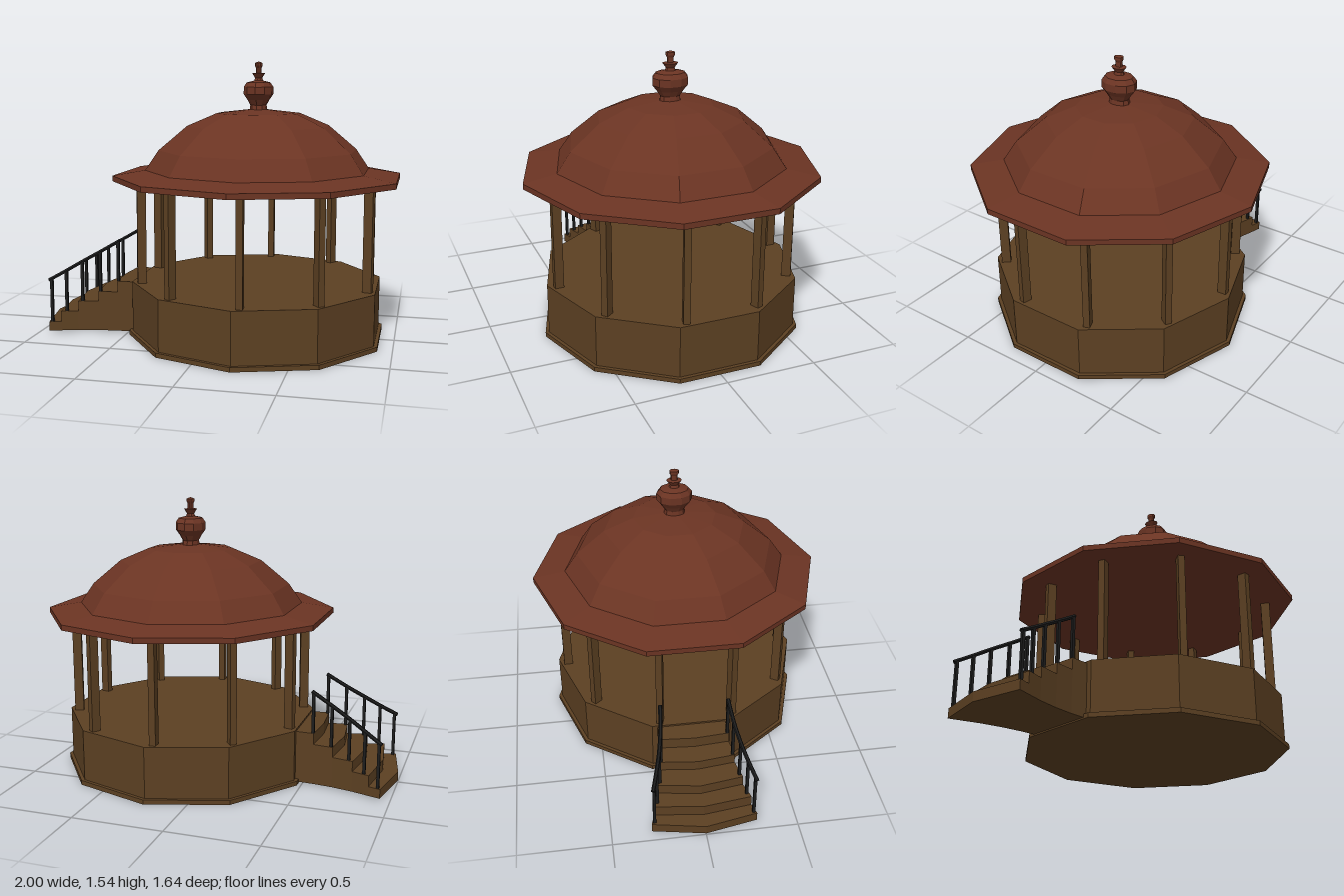
import * as THREE from 'three';

const mat = (color, side = THREE.FrontSide) =>
  new THREE.MeshStandardMaterial({ color, flatShading: true, side });

export function createModel() {
  const model = new THREE.Group();
  const wood = mat(0x5c4022);
  const red = mat(0x6b3423);
  const iron = mat(0x1c1c1c);
  const SIDES = 10;

  const add = (parent, name, geometry, material, x = 0, y = 0, z = 0) => {
    const mesh = new THREE.Mesh(geometry, material);
    mesh.name = name;
    mesh.position.set(x, y, z);
    parent.add(mesh);
    return mesh;
  };
  const lathe = (points) =>
    new THREE.LatheGeometry(points.map(([r, y]) => new THREE.Vector2(r, y)), SIDES);

  // Ten-sided pavilion, set off to one side to leave room for the stairs
  const pavilion = new THREE.Group();
  pavilion.name = 'pavilion';
  pavilion.position.x = 0.22;
  model.add(pavilion);

  add(pavilion, 'plinth', new THREE.CylinderGeometry(0.735, 0.735, 0.025, SIDES), wood, 0, 0.0125, 0);
  add(pavilion, 'floorBase', new THREE.CylinderGeometry(0.715, 0.715, 0.285, SIDES), wood, 0, 0.1675, 0);

  // Columns, turned slightly off the corners of the base
  for (let i = 0; i < SIDES; i++) {
    const a = (i / SIDES) * Math.PI * 2 + 0.052;
    const column = add(pavilion, 'column', new THREE.BoxGeometry(0.036, 0.59, 0.05), wood,
      0.66 * Math.sin(a), 0.6, 0.66 * Math.cos(a));
    column.rotation.y = a;
  }

  // Roof: flat underside, brim and faceted dome
  add(pavilion, 'roof', lathe([
    [0, 0.885], [0.818, 0.885], [0.818, 0.915], [0.635, 0.945], [0.56, 1.055],
    [0.4, 1.19], [0.235, 1.26], [0, 1.287],
  ]), red);

  // Finial, a little narrower across x
  const finial = add(pavilion, 'finial', lathe([
    [0.062, 1.265], [0.055, 1.305], [0.075, 1.335], [0.1, 1.365], [0.1, 1.405], [0.08, 1.43],
    [0.03, 1.44], [0.024, 1.455], [0.043, 1.48], [0.019, 1.483], [0.019, 1.51],
    [0.026, 1.522], [0.026, 1.537], [0, 1.545],
  ]), red);
  finial.scale.x = 0.82;

  // Stairs: pointed treads between flaring sides
  const stairs = new THREE.Group();
  stairs.name = 'stairs';
  model.add(stairs);

  // Each row: nose x on the centre line, nose x at the side, half width, tread height
  const treads = [
    [-1, -0.945, 0.285, 0.06],
    [-0.915, -0.88, 0.265, 0.122],
    [-0.82, -0.785, 0.235, 0.18],
    [-0.695, -0.67, 0.21, 0.237],
    [-0.575, -0.56, 0.196, 0.3],
    [-0.43, -0.43, 0.19, 0],
  ];
  for (let i = 0; i < treads.length - 1; i++) {
    const [c0, s0, w0, h] = treads[i];
    const [c1, s1, w1] = treads[i + 1];
    const outline = new THREE.Shape([[c0, 0], [s0, -w0], [s1, -w1], [c1, 0], [s1, w1], [s0, w0]]
      .map(([x, y]) => new THREE.Vector2(x, y)));
    const step = new THREE.ExtrudeGeometry(outline, { depth: h - 0.008, bevelEnabled: false });
    step.rotateX(-Math.PI / 2);
    add(stairs, 'step', step, wood, 0, 0.008, 0);
  }

  // Railings: each row is post x, offset in z, foot height, rail height
  const posts = [
    [-0.93, 0.268, 0.06, 0.312],
    [-0.85, 0.243, 0.12, 0.358],
    [-0.762, 0.218, 0.18, 0.41],
    [-0.66, 0.198, 0.237, 0.468],
    [-0.555, 0.186, 0.3, 0.53],
  ];
  for (const side of [-1, 1]) {
    const railing = new THREE.Group();
    railing.name = side > 0 ? 'frontRailing' : 'backRailing';
    stairs.add(railing);
    for (const [x, z, foot, top] of posts) {
      add(railing, 'railingPost', new THREE.BoxGeometry(0.016, top - foot, 0.016), iron,
        x, (foot + top) / 2, z * side);
    }
    const path = new THREE.CatmullRomCurve3([
      new THREE.Vector3(-0.945, 0.304, 0.274 * side),
      ...posts.slice(1, 4).map(([x, z, , top]) => new THREE.Vector3(x, top, z * side)),
      new THREE.Vector3(-0.545, 0.535, 0.185 * side),
    ]);
    add(railing, 'handrail', new THREE.TubeGeometry(path, 12, 0.011, 6), mat(0x1c1c1c, THREE.DoubleSide));
  }

  return model;
}
